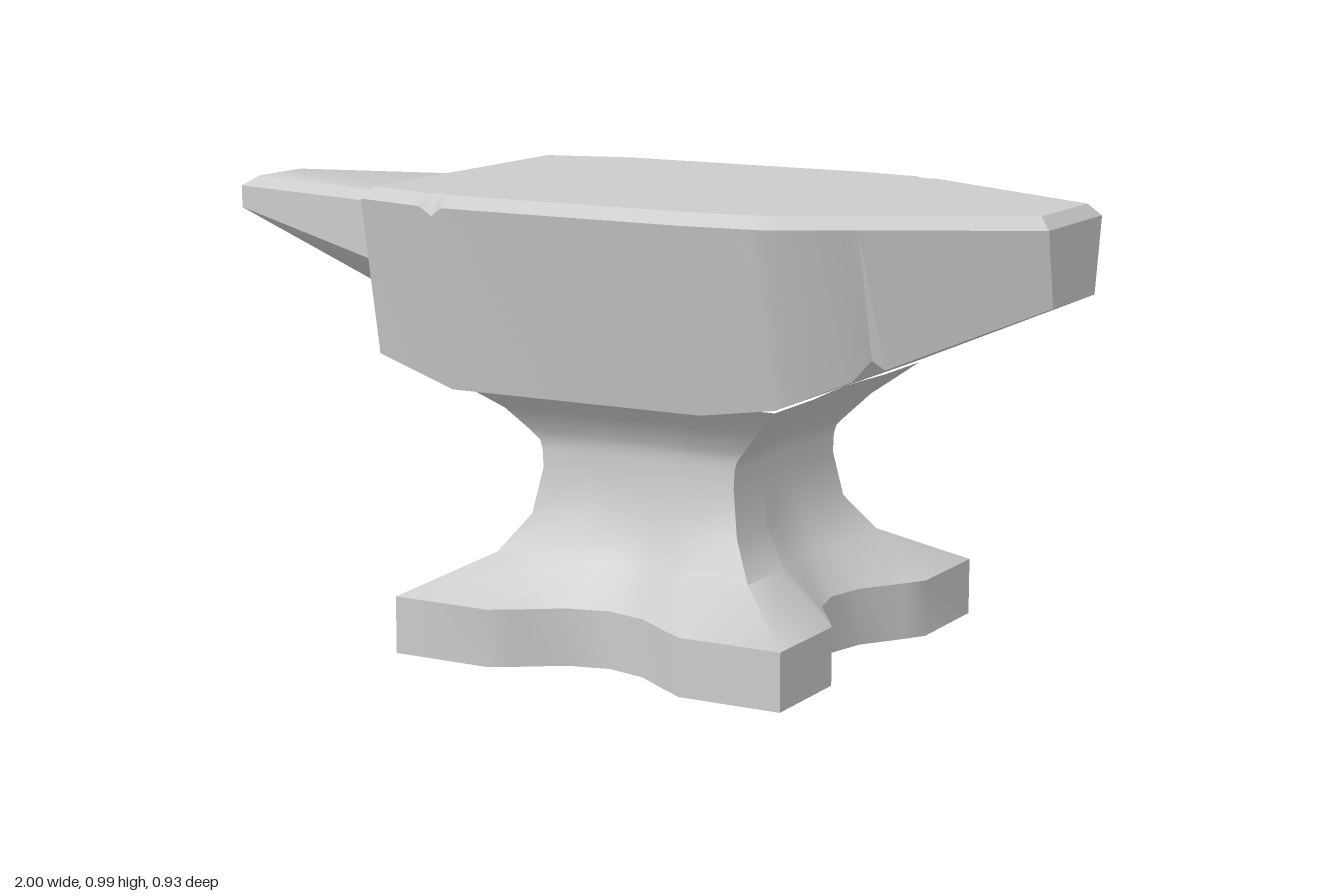
import * as THREE from 'three';
import { toCreasedNormals } from 'three/addons/utils/BufferGeometryUtils.js';

const material = new THREE.MeshStandardMaterial({ color: 0xcccccc });
const lerp = THREE.MathUtils.lerp;

function addMesh(group, name, geometry, crease) {
  const mesh = new THREE.Mesh(toCreasedNormals(geometry, crease), material);
  mesh.name = name;
  group.add(mesh);
}

// Skins a list of equal-length rings; capped rings run symmetrically, so point i faces point n-1-i.
function loft(rings, capped) {
  const out = [];
  const quad = (a, b, c, d) => [a, b, c, a, c, d].forEach((p) => out.push(...p));
  const n = rings[0].length;
  for (let r = 0; r < rings.length - 1; r++) {
    const a = rings[r], b = rings[r + 1];
    for (let i = 0; i < n; i++) {
      const j = (i + 1) % n;
      quad(a[i], a[j], b[j], b[i]);
    }
  }
  if (capped) {
    const first = rings[0], last = rings[rings.length - 1];
    for (let i = 0; i < n / 2 - 1; i++) {
      quad(first[n - 1 - i], first[n - 2 - i], first[i + 1], first[i]);
      quad(last[i], last[i + 1], last[n - 2 - i], last[n - 1 - i]);
    }
  }
  const geometry = new THREE.BufferGeometry();
  geometry.setAttribute('position', new THREE.Float32BufferAttribute(out, 3));
  return geometry;
}

// Square plan with a scooped notch in the middle of each side
const CENTRE_X = 0.115;
function footPlan(hx, hz, dent) {
  const side = [[-1, 0], [-0.5, 0], [-0.4, 0.25], [-0.2, 0.8], [0, 1], [0.2, 0.8], [0.4, 0.25], [0.5, 0]];
  const points = [];
  for (let k = 0; k < 4; k++) {
    for (const [u, d] of side) {
      let x = u, z = 1 - d * dent;
      for (let t = 0; t < k; t++) [x, z] = [z, -x];
      points.push([CENTRE_X + x * hx, z * hz]);
    }
  }
  return points;
}

// Base slab
function baseGeometry() {
  const shape = new THREE.Shape(footPlan(0.463, 0.463, 0.25).map(([x, z]) => new THREE.Vector2(x, -z)));
  return new THREE.ExtrudeGeometry(shape, { depth: 0.125, bevelEnabled: false }).rotateX(-Math.PI / 2);
}

// Flared waist: height, half width, half depth, notch, chip in one corner
function waistGeometry() {
  const levels = [
    [0.125, 0.463, 0.463, 0.25, 0],
    [0.21, 0.305, 0.305, 0.1, 0],
    [0.29, 0.25, 0.25, 0.06, 0],
    [0.39, 0.232, 0.232, 0.05, 0],
    [0.43, 0.234, 0.232, 0.05, 0],
    [0.45, 0.24, 0.232, 0.05, 0.025],
    [0.47, 0.258, 0.24, 0.05, 0],
    [0.52, 0.305, 0.27, 0.05, 0],
    [0.585, 0.385, 0.345, 0.03, 0],
  ];
  const backRight = 24;
  return loft(levels.map(([y, hx, hz, dent, chip]) =>
    footPlan(hx, hz, dent).map(([x, z], i) =>
      i === backRight ? [x + chip, y, z + chip] : [x, y, z])), false);
}

// Body stations: x, top x, half depths at top, shoulder and bottom, bottom height
const STATIONS = [
  [-0.48, -0.462, 0.355, 0.38, 0.315, 0.62],
  [-0.27, -0.27, 0.408, 0.435, 0.35, 0.565],
  [0.33, 0.33, 0.408, 0.435, 0.35, 0.565],
  [0.5, 0.495, 0.385, 0.415, 0.345, 0.59],
  [1, 0.975, 0.12, 0.14, 0.11, 0.805],
];
// Small nicks worn into the edges
const NICKS = [
  { x: -0.27, side: 1, top: true },
  { x: 0.5, side: -1, top: true },
  { x: 0.67, side: 1, top: false },
];

function stationAt(x) {
  let k = 0;
  while (k < STATIONS.length - 2 && x > STATIONS[k + 1][0]) k++;
  const a = STATIONS[k], b = STATIONS[k + 1];
  const t = (x - a[0]) / (b[0] - a[0]);
  return a.map((v, i) => lerp(v, b[i], t));
}

function bodyGeometry() {
  const xs = new Set(STATIONS.map((s) => s[0]));
  NICKS.forEach(({ x }) => [x - 0.03, x, x + 0.03].forEach((v) => xs.add(v)));
  const rings = [...xs].sort((a, b) => a - b).map((px) => {
    const [x, topX, zTop, zShoulder, zBottom, yBottom] = stationAt(px);
    const half = (side) => {
      const nick = NICKS.find((n) => n.x === px && n.side === side);
      const top = nick && nick.top ? 0.02 : 0;
      const low = nick && !nick.top ? 0.03 : 0;
      return [
        [topX, 0.99, side * (zTop - top)],
        [x, 0.965 - top, side * (zShoulder - top / 2)],
        [x, yBottom + low, side * (zBottom - low / 2)],
      ];
    };
    return [...half(1), ...half(-1).reverse()];
  });
  return loft(rings, true);
}

// Tapered horn: x, top x, half depths at top and side, side bottom, keel heights
function hornGeometry() {
  const ends = [
    [-1, -0.97, 0.08, 0.107, 0.885, 0.878, 0.875],
    [-0.47, -0.47, 0.21, 0.232, 0.787, 0.69, 0.65],
  ];
  return loft(ends.map(([x, topX, zTop, zSide, ySide, yMid, yKeel]) => {
    const half = (s) => [
      [topX, 0.957, s * zTop],
      [x, 0.935, s * zSide],
      [x, ySide, s * zSide],
      [x, yMid, s * zSide * 0.6],
      [x, yKeel, s * zSide * 0.2],
    ];
    return [...half(1), ...half(-1).reverse()];
  }), true);
}

export function createModel() {
  const group = new THREE.Group();
  group.name = 'anvil';
  addMesh(group, 'base', baseGeometry(), 0.6);
  addMesh(group, 'waist', waistGeometry(), 0.7);
  addMesh(group, 'body', bodyGeometry(), 0.5);
  addMesh(group, 'horn', hornGeometry(), 0.6);
  return group;
}
